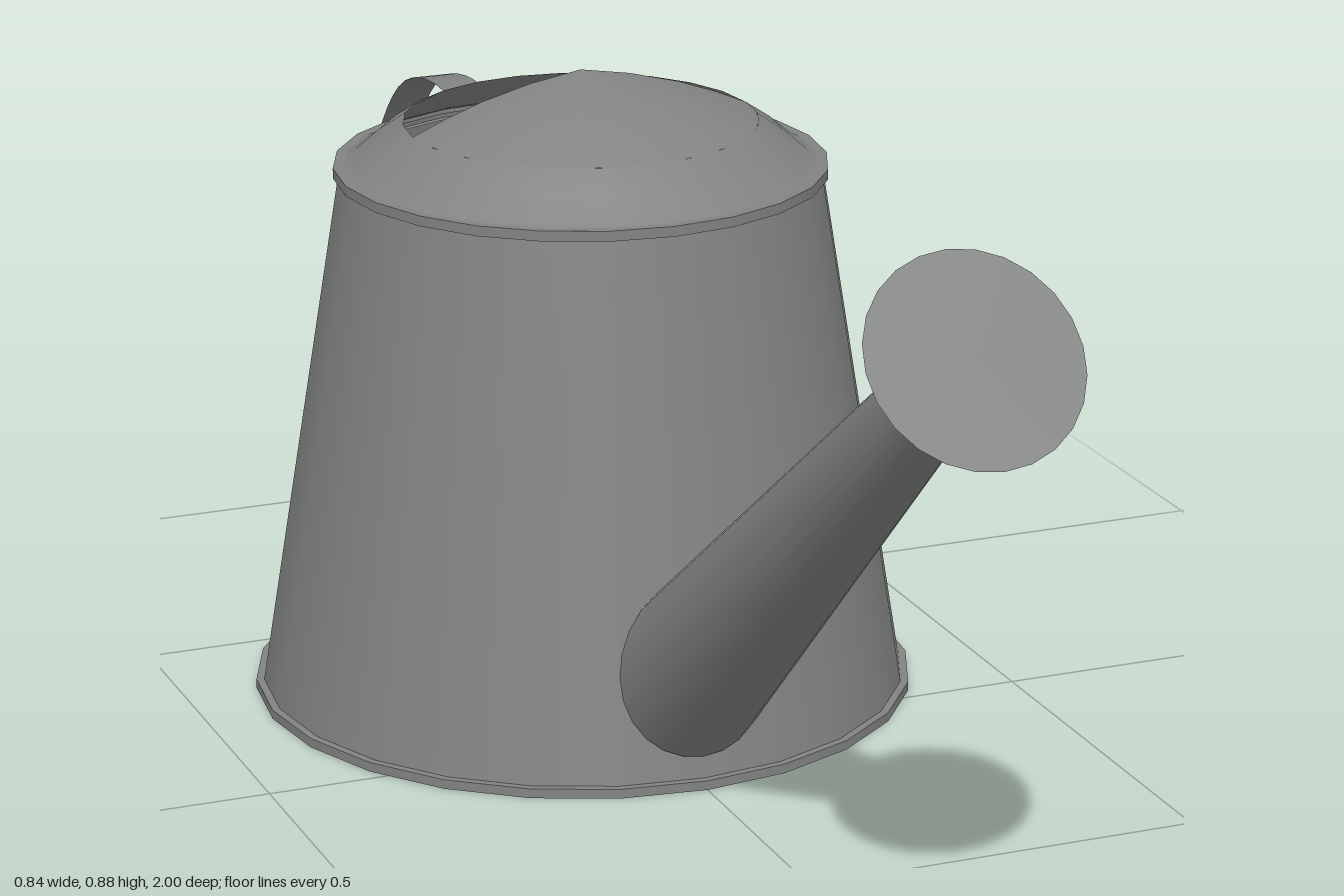
import * as THREE from 'three';

const CZ = -0.232;      // centre line of the can
const SIDES = 24;
const bodyRadius = (y) => 0.412 - 0.16 * y;

export function createModel() {
  const group = new THREE.Group();
  const metal = new THREE.MeshStandardMaterial({ color: 0x828483, side: THREE.DoubleSide });
  metal.name = 'grey metal';

  const add = (name, geometry, z = 0) => {
    const mesh = new THREE.Mesh(geometry, metal);
    mesh.name = name;
    mesh.position.z = z;
    group.add(mesh);
    return mesh;
  };
  const lathe = (name, pts, start = 0, length = Math.PI * 2, sides = SIDES) =>
    add(name, new THREE.LatheGeometry(pts.map((p) => new THREE.Vector2(...p)), sides, start, length), CZ);
  // Flat-sided band made of separate straight cylinders, so its edges stay sharp
  const band = (name, inner, outer, y0, y1) => {
    const corners = [[inner, y0], [outer, y0], [outer, y1], [inner, y1]];
    for (let i = 0; i < 3; i++) lathe(name, [corners[i], corners[i + 1]]);
  };

  // Tapered body with floor and rims
  lathe('body', [[bodyRadius(0.005), 0.005], [bodyRadius(0.68), 0.68]]);
  lathe('floor', [[0, 0.002], [0.415, 0.002]]);
  band('bottomRim', 0.405, 0.42, 0, 0.012);
  band('topRim', 0.295, 0.31, 0.674, 0.687);

  // Domed lid: a full outer ring, with the raised part only over the front half
  lathe('lidRing', [[0.302, 0.685], [0.285, 0.692], [0.255, 0.718], [0.222, 0.74]]);
  lathe('lidHood', [[0.222, 0.74], [0.18, 0.758], [0.13, 0.776], [0.065, 0.793], [0, 0.804]],
    -Math.PI / 2, Math.PI, 16);

  // Places a cylinder between two points
  const between = (from, to, r0, r1, open) => {
    const dir = to.clone().sub(from);
    const geo = new THREE.CylinderGeometry(r1, r0, dir.length(), SIDES, 1, open);
    geo.applyQuaternion(new THREE.Quaternion().setFromUnitVectors(
      new THREE.Vector3(0, 1, 0), dir.clone().normalize()));
    const mid = from.clone().add(to).multiplyScalar(0.5);
    return geo.translate(mid.x, mid.y, mid.z);
  };

  // Spout: its lower ring slides along the sides until it meets the body
  const neck = new THREE.Vector3(0, 0.71, 0.83);
  const spout = between(new THREE.Vector3(0, 0.074, 0.059), neck, 0.104, 0.048, true);
  const pos = spout.attributes.position;
  const a = new THREE.Vector3(), b = new THREE.Vector3(), p = new THREE.Vector3();
  for (let i = 0; i <= SIDES; i++) {
    a.fromBufferAttribute(pos, i + SIDES + 1);
    b.fromBufferAttribute(pos, i);
    let low = 0, high = 1;
    for (let k = 0; k < 24; k++) {
      const t = (low + high) / 2;
      p.lerpVectors(a, b, t);
      if (Math.hypot(p.x, p.z - CZ) < bodyRadius(p.y)) low = t; else high = t;
    }
    p.lerpVectors(a, b, low);
    pos.setXYZ(i + SIDES + 1, p.x, p.y, p.z);
  }
  add('spout', spout);

  // Flared sprinkler head with a closed face
  const face = new THREE.Vector3(0, 0.775, 0.922);
  const axis = new THREE.Vector3(0, 0.61, 0.79).normalize();
  const back = face.clone().addScaledVector(axis, -0.113);
  add('sprinklerHead', between(back, face, 0.046, 0.127, false));

  // Ribbon of constant width following a path of [z, y] points
  const ribbon = (name, path, width, steps, smooth) => {
    const pts = path.map(([z, y]) => new THREE.Vector3(0, y, z));
    const curve = smooth ? new THREE.CatmullRomCurve3(pts, false, 'centripetal') : null;
    const line = smooth ? curve.getSpacedPoints(steps) : pts;
    const geo = new THREE.PlaneGeometry(width, 1, 1, line.length - 1);
    const v = geo.attributes.position;
    for (let i = 0; i < v.count; i++) {
      const q = line[Math.floor(i / 2)];
      v.setXYZ(i, -v.getX(i), q.y, q.z);
    }
    geo.computeVertexNormals();
    add(name, geo);
  };

  // Handle loop
  ribbon('handle', [[-0.545, 0.643], [-0.61, 0.661], [-0.71, 0.671], [-0.83, 0.638], [-0.935, 0.53],
    [-0.996, 0.365], [-0.945, 0.235], [-0.87, 0.165], [-0.75, 0.118], [-0.637, 0.112]], 0.055, 36, true);

  // Tabs folded against the body, each with a rivet
  [['upperTab', 0.643, 0.6], ['lowerTab', 0.112, 0.02]].forEach(([name, top, bottom]) => {
    const zAt = (y) => CZ - bodyRadius(y) - 0.008;
    ribbon(name, [[zAt(top), top], [zAt(bottom), bottom]], 0.055, 1, false);
    const y = (top + bottom) / 2;
    const rivet = new THREE.CylinderGeometry(0.01, 0.01, 0.012, 10);
    rivet.rotateX(Math.PI / 2).translate(0, y, zAt(y));
    add(name + 'Rivet', rivet);
  });

  return group;
}
